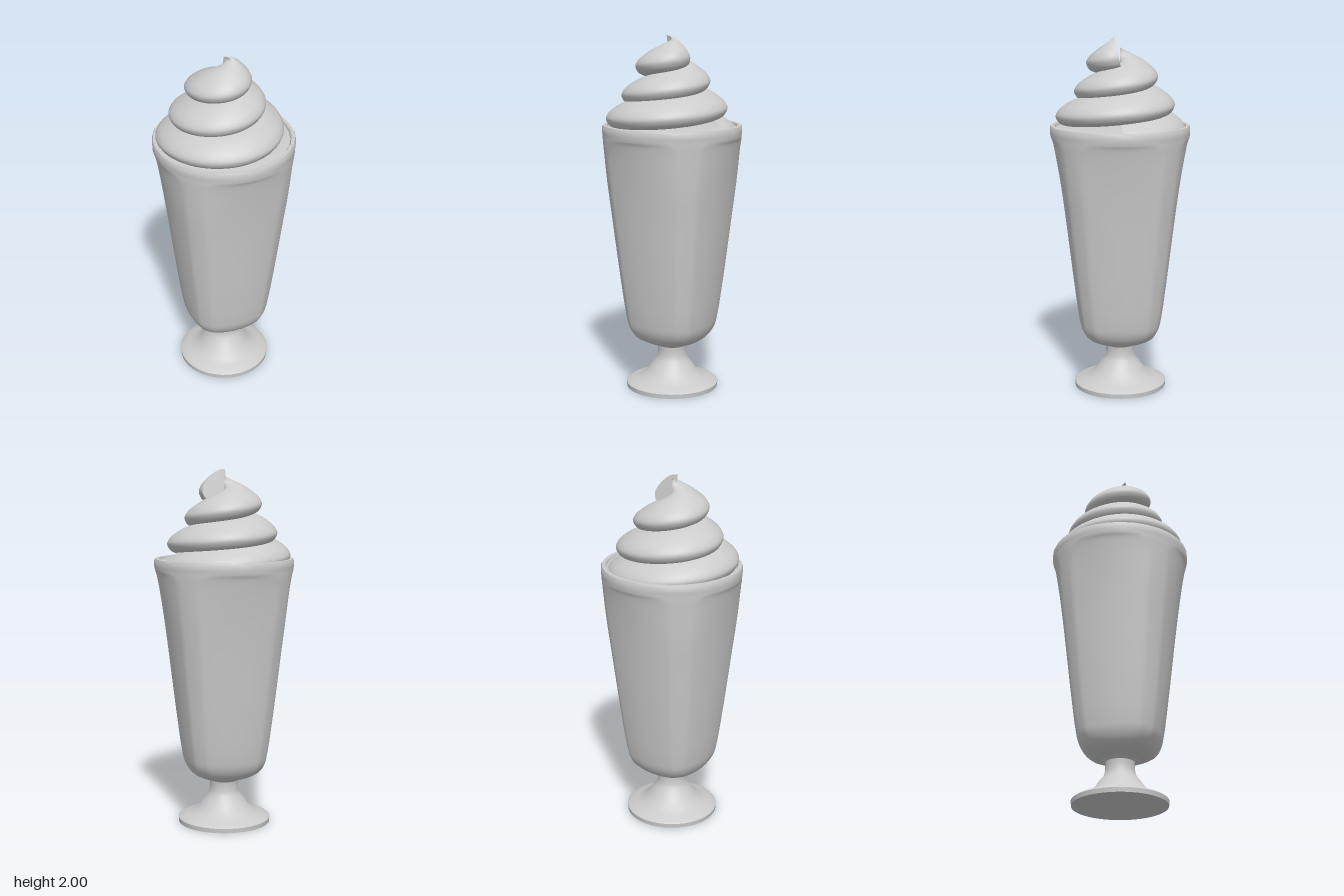
import * as THREE from 'three';
import { mergeVertices, toCreasedNormals } from 'three/addons/utils/BufferGeometryUtils.js';

const material = new THREE.MeshStandardMaterial({ color: 0xcccccc });
const RAD = Math.PI / 180;

// Smooth skin from point(i, j): i runs clockwise around the axis, j runs down the section
function skin(point, nu, nv) {
  const positions = [], index = [];
  for (let i = 0; i <= nu; i++) {
    for (let j = 0; j <= nv; j++) positions.push(...point(i / nu, j / nv));
  }
  for (let i = 0; i < nu; i++) {
    for (let j = 0; j < nv; j++) {
      const a = i * (nv + 1) + j, b = a + nv + 1;
      index.push(a, a + 1, b, b, a + 1, b + 1);
    }
  }
  let geometry = new THREE.BufferGeometry();
  geometry.setAttribute('position', new THREE.Float32BufferAttribute(positions, 3));
  geometry.setIndex(index);
  geometry = mergeVertices(geometry, 1e-5);
  geometry.computeVertexNormals();
  return geometry;
}

function add(group, name, geometry, mat = material) {
  const mesh = new THREE.Mesh(geometry, mat);
  mesh.name = name;
  group.add(mesh);
}

function lathe(points, segments = 48) {
  const g = new THREE.LatheGeometry(points.map(([r, y]) => new THREE.Vector2(r, y)), segments);
  return toCreasedNormals(g, 0.6);
}

// Glass wall: x = corner radius, y = height, z = distance of the panel centre
const wall = new THREE.CatmullRomCurve3([
  [0.388, 1.46, 0.388], [0.387, 1.445, 0.385], [0.386, 1.425, 0.377], [0.382, 1.38, 0.367],
  [0.365, 1.2, 0.336], [0.34, 1.0, 0.309], [0.315, 0.8, 0.285], [0.289, 0.6, 0.261],
  [0.262, 0.42, 0.237], [0.245, 0.35, 0.222], [0.21, 0.3, 0.193], [0.15, 0.268, 0.145],
  [0.105, 0.255, 0.105], [0.08, 0.24, 0.08],
].map((p) => new THREE.Vector3(...p)));

function wallPoint(u, v) {
  const p = wall.getPoint(v);
  const a = -2 * Math.PI * u;
  // Angle from the centre of the nearest of the four panels
  const quarter = Math.PI / 2;
  const phi = Math.abs(a - Math.round(a / quarter) * quarter);
  // Rounded upper corners of the panels
  const arch = THREE.MathUtils.clamp((p.y - 1.34) / 0.11, 0, 1);
  const edge = 36 * RAD * (0.68 + 0.32 * Math.sqrt(1 - arch * arch));
  const k = Math.min(1, phi / edge);
  const r = p.z + (p.x - p.z) * k * k;
  return [r * Math.cos(a), p.y, r * Math.sin(a)];
}

// Swirl path: x = turn, y = height of the bulge, z = outer radius
const path = [
  [-3, 1.46, 0.355], [-2.75, 1.495, 0.362], [-2.5, 1.535, 0.37], [-2.25, 1.56, 0.358],
  [-2, 1.595, 0.29], [-1.5, 1.66, 0.292], [-1, 1.74, 0.203], [-0.5, 1.82, 0.208],
  [-0.25, 1.855, 0.185], [0, 1.885, 0.122],
];
path[4][2] = 0.312;
path[6][2] = 0.216;

function along(t, column) {
  let i = 0;
  while (i < path.length - 2 && t > path[i + 1][0]) i++;
  const slope = (k) => {
    const a = path[Math.max(0, k - 1)], b = path[Math.min(path.length - 1, k + 1)];
    return (b[column] - a[column]) / (b[0] - a[0]);
  };
  // Hermite interpolation between neighbouring knots
  const p = path[i], q = path[i + 1], h = q[0] - p[0], s = (t - p[0]) / h;
  return p[column] * (1 + 2 * s) * (1 - s) ** 2 + slope(i) * h * s * (1 - s) ** 2
    + q[column] * s * s * (3 - 2 * s) + slope(i + 1) * h * s * s * (s - 1);
}

// Section of the coil: inset from the outer radius (fraction), height above the bulge
const section = new THREE.CatmullRomCurve3([
  [1, 0.117], [0.75, 0.112], [0.5, 0.094], [0.25, 0.062], [0.07, 0.03], [0, 0],
  [0.06, -0.03], [0.22, -0.05], [0.55, -0.055], [1, -0.05],
].map(([x, y]) => new THREE.Vector3(x, y, 0)));

function swirlPoint(u, v) {
  const t = -3 + 3 * u;
  const a = -2 * Math.PI * t;
  const r = along(t, 2);
  const s = section.getPoint(v);
  // Inset is a fixed width on wide turns, so the bulge keeps its shape
  const width = Math.min(r, 0.2);
  const inset = s.x * width + (r - width) * s.x ** 4;
  const rho = Math.max(0, r - inset);
  const y = along(t, 1) + s.y;
  // The tip leans forward and a little to the side
  const lean = THREE.MathUtils.smoothstep(t, -0.25, 0);
  const dx = -0.015 * lean * s.x;
  return [rho * Math.cos(a) + dx, y, rho * Math.sin(a) + lean * (0.01 + 0.2 * s.y)];
}

// Flat cut face that closes the end of the coil
function endCap(n) {
  const ring = [];
  for (let j = 0; j <= n; j++) ring.push(swirlPoint(1, j / n));
  const positions = [];
  const centre = [0.05, 1.9, 0.013];
  for (let j = 0; j <= n; j++) positions.push(...centre, ...ring[j], ...ring[(j + 1) % (n + 1)]);
  const g = new THREE.BufferGeometry();
  g.setAttribute('position', new THREE.Float32BufferAttribute(positions, 3));
  g.computeVertexNormals();
  return g;
}

export function createModel() {
  const group = new THREE.Group();
  group.name = 'sundae';

  // Foot and stem
  add(group, 'footAndStem', lathe([
    [0, 0], [0.26, 0], [0.262, 0.025], [0.25, 0.035], [0.21, 0.045], [0.17, 0.065], [0.135, 0.1],
    [0.112, 0.135], [0.09, 0.162], [0.082, 0.185], [0.08, 0.22], [0.082, 0.245], [0.1, 0.256],
  ]));

  // Panelled glass and its rim
  add(group, 'glassBody', skin(wallPoint, 120, 72));
  add(group, 'glassRim', lathe([
    [0.388, 1.455], [0.39, 1.47], [0.39, 1.5], [0.385, 1.51], [0.366, 1.51], [0.36, 1.5], [0.355, 1.46],
  ], 32));

  // Cream: flat filling, swirl and the cut end of the swirl
  add(group, 'creamFilling', lathe([[0.365, 1.495], [0.3, 1.508], [0, 1.515]], 32));
  const cream = new THREE.Group();
  cream.name = 'creamSwirl';
  add(cream, 'coil', skin(swirlPoint, 180, 28));
  const flat = material.clone();
  flat.side = THREE.DoubleSide;
  add(cream, 'coilEnd', endCap(28), flat);
  group.add(cream);

  return group;
}
